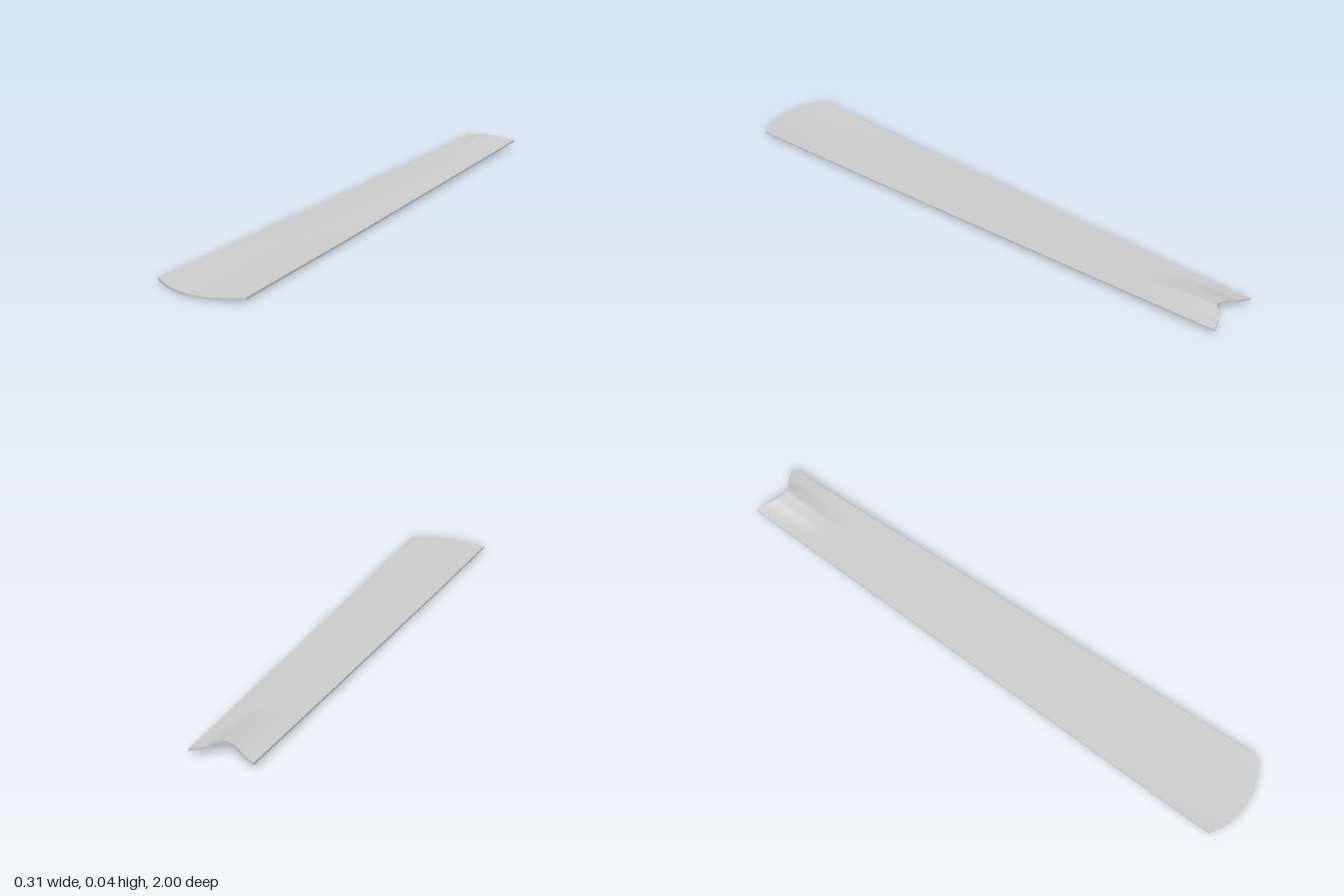
import * as THREE from 'three';

const { lerp, clamp } = THREE.MathUtils;

// Cross-section of the raised fold at the back end: [s across -1..1, notch depth, rise]
const fold = [
  [-1, 0, 0.001], [-0.62, 0.016, 0.007], [-0.3, 0.036, 0.019], [0, 0.047, 0.021],
  [0.14, 0.05, 0.023], [0.3, 0.038, 0.018], [0.6, 0.015, 0.007], [1, 0, 0.001],
];

function sampleFold(s, k) {
  let i = 0;
  while (i < fold.length - 2 && s > fold[i + 1][0]) i++;
  const a = fold[i], b = fold[i + 1];
  return lerp(a[k], b[k], clamp((s - a[0]) / (b[0] - a[0]), 0, 1));
}

export function createModel() {
  const group = new THREE.Group();
  group.name = 'blade';

  // Thin slab, bent by a rule into the tapered blade
  const geo = new THREE.BoxGeometry(2, 1, 1, 28, 1, 50);
  const p = geo.attributes.position;
  for (let i = 0; i < p.count; i++) {
    const s = p.getX(i), top = p.getY(i) + 0.5, t = p.getZ(i) + 0.5;
    // Outline: rounded front tip, notched back end
    const zBack = -1 + sampleFold(s, 1);
    const zFront = 1 - 0.05 * s * s;
    const z = lerp(zBack, zFront, t);
    const x = s * lerp(0.103, 0.157, t) - 0.004 * (1 - t);
    // Height: slight slope, shallow dish at the tip, fold rising toward the back
    const dish = 0.005 * s * s * clamp((z - 0.4) / 0.55, 0, 1);
    const rise = sampleFold(s, 2) * Math.pow(clamp((0.125 - t) / 0.125, 0, 1), 1.15);
    const y = lerp(0.014, 0, t) + 0.0075 * top + dish + rise;
    p.setXYZ(i, x, y, z);
  }
  geo.computeVertexNormals();

  const blade = new THREE.Mesh(geo, new THREE.MeshStandardMaterial({ color: 0xcccccc }));
  blade.name = 'bladePanel';
  group.add(blade);
  return group;
}
